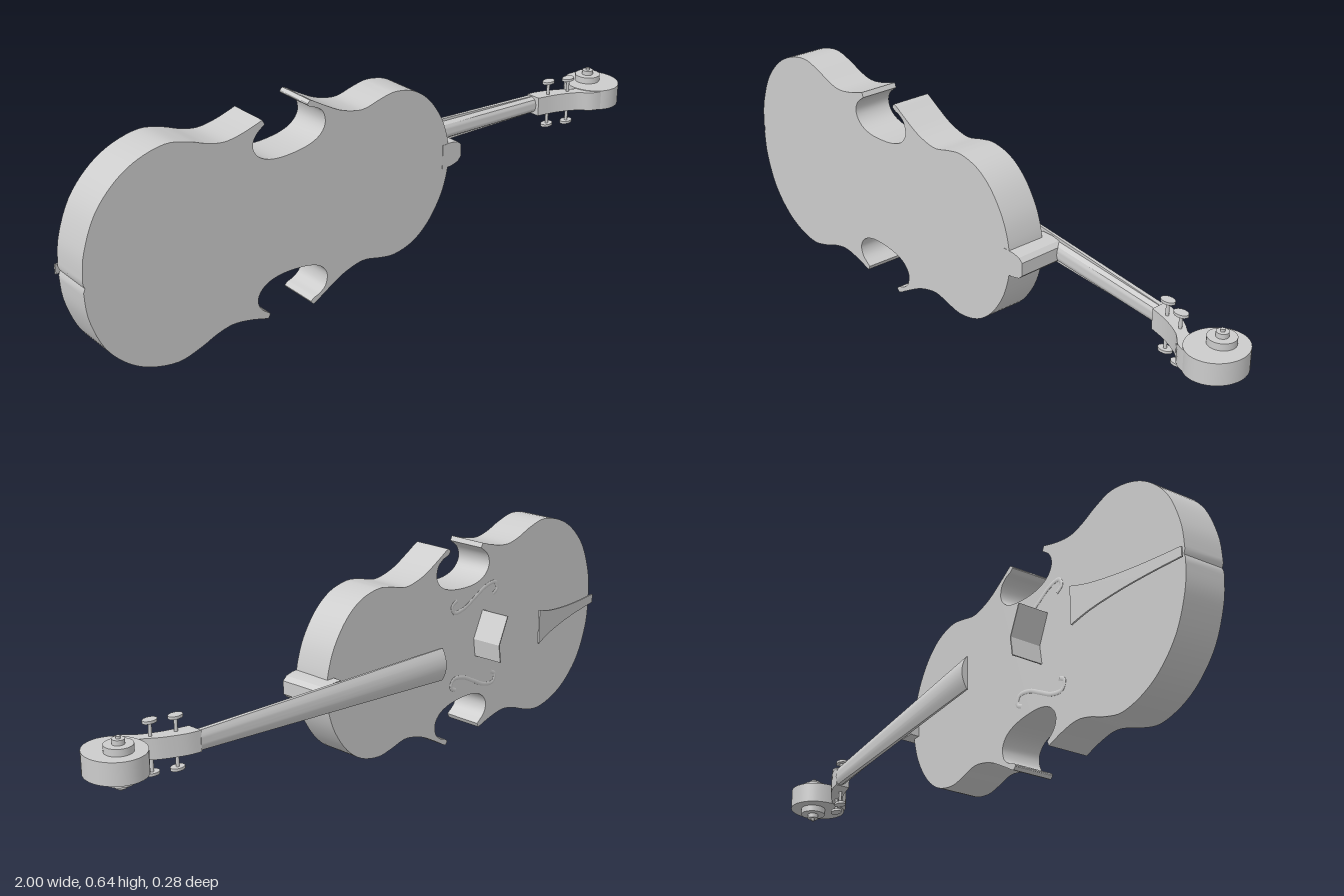
import * as THREE from 'three';
import { toCreasedNormals } from 'three/addons/utils/BufferGeometryUtils.js';

const grey = new THREE.MeshStandardMaterial({ color: 0xcccccc, side: THREE.DoubleSide });
grey.name = 'plain grey';

function add(parent, name, geometry, x = 0, y = 0, z = 0) {
  const mesh = new THREE.Mesh(geometry, grey);
  mesh.name = name;
  mesh.position.set(x, y, z);
  parent.add(mesh);
  return mesh;
}

const vec = (p) => new THREE.Vector2(p[0], p[1]);
const smooth = (pts, n) => new THREE.SplineCurve(pts.map(vec)).getPoints(n);

// Flat slab in the x-y plane, centred in depth
function slab(points, depth) {
  const g = new THREE.ExtrudeGeometry(new THREE.Shape(points), { depth, bevelEnabled: false });
  g.translate(0, 0, -depth / 2);
  return toCreasedNormals(g, 0.5);
}

// Profile in the x-z plane, extruded across y
function sideProfile(points, width) {
  return slab(points, width).rotateX(Math.PI / 2);
}

// Closed outline from its upper half, mirrored in y
function mirrored(half) {
  const lower = half.map((p) => new THREE.Vector2(p.x, -p.y)).reverse();
  return [...half, ...lower].filter((p, i, a) => i === 0 || p.distanceTo(a[i - 1]) > 1e-4);
}

// Tapered strip along x; place(t, s) gives half width and z of each side
function strip(x0, x1, place) {
  const g = new THREE.BoxGeometry(1, 2, 1, 1, 8, 1);
  const p = g.attributes.position;
  for (let i = 0; i < p.count; i++) {
    const t = p.getX(i) + 0.5, s = p.getY(i);
    const { w, top, bottom } = place(t, s);
    p.setXYZ(i, x0 + (x1 - x0) * t, s * w, p.getZ(i) < 0 ? top : bottom);
  }
  return toCreasedNormals(g, 0.5);
}

function buildBody() {
  const body = new THREE.Group();
  body.name = 'body';
  const lowerBout = [[-1, 0.012], [-0.992, 0.09], [-0.955, 0.186], [-0.896, 0.255], [-0.826, 0.298],
    [-0.741, 0.318], [-0.671, 0.304], [-0.612, 0.282], [-0.559, 0.272], [-0.5, 0.281], [-0.441, 0.299]];
  const waist = [[-0.434, 0.285], [-0.466, 0.258], [-0.473, 0.223], [-0.447, 0.191], [-0.393, 0.176],
    [-0.313, 0.18], [-0.26, 0.197], [-0.234, 0.228], [-0.238, 0.264], [-0.259, 0.284], [-0.281, 0.292],
    [-0.292, 0.302], [-0.283, 0.312]];
  const upperBout = [[-0.273, 0.308], [-0.233, 0.284], [-0.179, 0.255], [-0.126, 0.239], [-0.088, 0.237],
    [-0.035, 0.25], [0.019, 0.257], [0.088, 0.24], [0.147, 0.196], [0.195, 0.127], [0.22, 0.057], [0.227, 0]];
  const half = [new THREE.Vector2(-0.995, 0), ...smooth(lowerBout, 44), ...smooth(waist, 44), ...smooth(upperBout, 44)];
  const outline = mirrored(half);
  outline.pop();
  add(body, 'soundBox', slab(outline, 0.123));

  // Curled sound holes either side of the bridge
  const curl = [[-0.085, -0.008], [-0.105, 0.005], [-0.095, 0.028], [-0.05, 0.024], [0, 0],
    [0.05, -0.024], [0.095, -0.028], [0.105, -0.005], [0.085, 0.008]];
  for (const m of [1, -1]) {
    const path = new THREE.CatmullRomCurve3(curl.map(([x, y]) => new THREE.Vector3(x, m * y, 0)));
    const g = new THREE.TubeGeometry(path, 48, 0.007, 6, false).scale(1, 1, 0.3);
    add(body, 'soundHole', g, -0.41, m * 0.135, -0.0615);
  }
  body.rotation.y = -0.029;
  body.position.z = 0.0315;
  return body;
}

function buildNeck() {
  const neck = new THREE.Group();
  neck.name = 'neck';
  // Arched fingerboard, narrowing towards the scroll
  add(neck, 'fingerboard', strip(-0.17, 0.69, (t, s) => {
    const z = -0.128 + 0.108 * t;
    return { w: 0.05 - 0.022 * t, top: z + s * s * (0.016 - 0.008 * t), bottom: z + 0.021 };
  }));
  // Rounded neck under the fingerboard
  add(neck, 'neckBack', strip(0.23, 0.7, (t, s) => {
    const z = -0.058 + 0.059 * t;
    return { w: 0.029 - 0.003 * t, top: z, bottom: z + 0.004 + 0.016 * Math.sqrt(1 - s * s) };
  }));
  // Heel joining neck and body
  const heel = [[0.2, -0.038], [0.235, -0.038], [0.262, -0.032], [0.275, -0.02],
    [0.275, 0.02], [0.262, 0.032], [0.235, 0.038], [0.2, 0.038]];
  add(neck, 'heel', slab(heel.map(vec), 0.152), 0, 0, 0.024);
  return neck;
}

function buildHead() {
  const head = new THREE.Group();
  head.name = 'head';
  const top = smooth([[0.688, -0.018], [0.73, -0.008], [0.79, 0.022], [0.83, 0.052], [0.85, 0.05]], 16);
  const under = smooth([[0.9, 0.13], [0.85, 0.115], [0.81, 0.078], [0.75, 0.048], [0.688, 0.03]], 16);
  add(head, 'pegBox', sideProfile([...top, ...under], 0.06));
  // Scroll built as stepped discs
  const disc = (name, r, width, z) =>
    add(head, name, new THREE.CylinderGeometry(r, r, width, 36), 0.918, 0, z);
  disc('scroll', 0.09, 0.064, 0.047).scale.x = 0.91;
  disc('scrollStep', 0.039, 0.104, 0.03);
  disc('scrollEye', 0.017, 0.132, 0.03);
  disc('scrollPin', 0.006, 0.146, 0.03);
  // Two pegs on each side with flat oval heads
  for (const [x, z] of [[0.735, 0.026], [0.8, 0.05]]) {
    for (const m of [1, -1]) {
      add(head, 'pegShaft', new THREE.CylinderGeometry(0.005, 0.005, 0.05, 10), x, m * 0.05, z);
      const knob = add(head, 'pegHead', new THREE.CylinderGeometry(0.022, 0.022, 0.008, 20), x, m * 0.072, z);
      knob.scale.z = 0.7;
    }
  }
  return head;
}

function buildFittings() {
  const fittings = new THREE.Group();
  fittings.name = 'fittings';
  // Bridge: a folded thin plate standing on the sound box
  const face = [[-0.445, 0.086], [-0.406, 0.002], [-0.414, -0.055]];
  const back = face.map(([x, y]) => [x - 0.004, y]).reverse();
  add(fittings, 'bridge', slab([...face, ...back].map(vec), 0.108), 0, 0, -0.085);
  // Flared tailpiece, rising towards the bridge
  const edge = smooth([[0, 0.014], [0.1, 0.017], [0.2, 0.024], [0.3, 0.038], [0.366, 0.056]], 16);
  const tail = add(fittings, 'tailpiece', slab(mirrored(edge), 0.005), -1, 0, -0.071);
  tail.rotation.y = 0.13;
  return fittings;
}

export function createModel() {
  const model = new THREE.Group();
  model.name = 'violin';
  const parts = new THREE.Group();
  parts.name = 'instrument';
  parts.add(buildBody(), buildNeck(), buildHead(), buildFittings());
  parts.position.y = 0.318;
  model.add(parts);
  return model;
}
